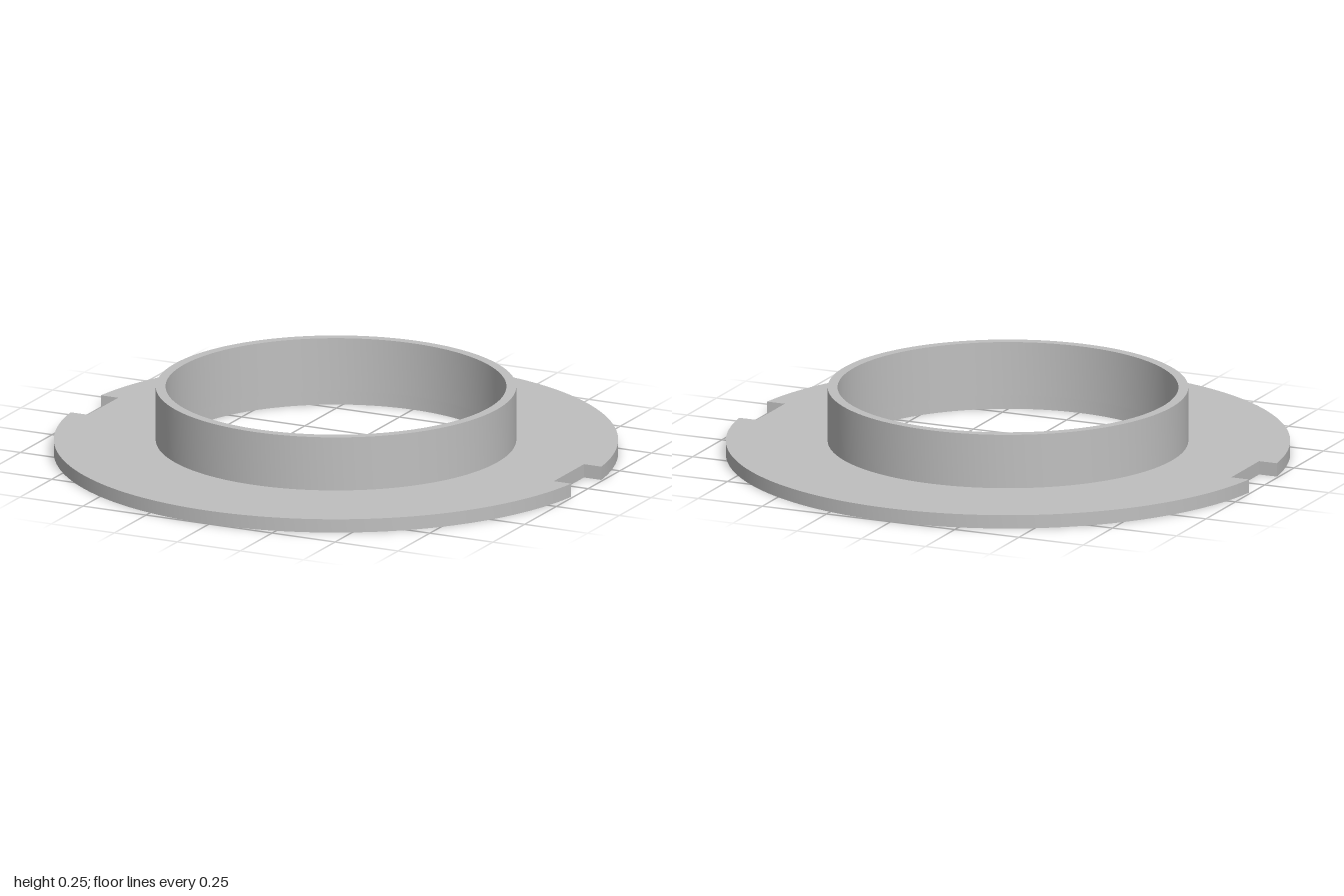
import * as THREE from 'three';
import { toCreasedNormals } from 'three/addons/utils/BufferGeometryUtils.js';

const BORE = 0.604, COLLAR = 0.639, FLANGE_TOP = 0.049, HEIGHT = 0.245;
const NOTCH_X = 0.924, NOTCH_HALF = 0.119;

export function createModel() {
  const group = new THREE.Group();
  const grey = new THREE.MeshStandardMaterial({ color: 0xbfbfbf });
  grey.name = 'grey metal';

  const add = (name, geometry) => {
    const mesh = new THREE.Mesh(toCreasedNormals(geometry, 0.5), grey);
    mesh.name = name;
    group.add(mesh);
  };

  // Flat flange: disc with a square notch on each side and a round bore
  const a = Math.asin(NOTCH_HALF);
  const outline = new THREE.Shape();
  for (const side of [1, -1]) {
    const start = side > 0 ? 0 : Math.PI;
    outline.absarc(0, 0, 1, start + a, start + Math.PI - a, false);
    outline.lineTo(-side * NOTCH_X, side * NOTCH_HALF);
    outline.lineTo(-side * NOTCH_X, -side * NOTCH_HALF);
  }
  outline.closePath();
  outline.holes.push(new THREE.Path().absarc(0, 0, BORE, 0, Math.PI * 2, true));
  const flange = new THREE.ExtrudeGeometry(outline, {
    depth: FLANGE_TOP, bevelEnabled: false, curveSegments: 64,
  });
  add('flange', flange.rotateX(-Math.PI / 2));

  // Thin upright collar around the bore: outer wall, rim, inner wall
  const profile = [
    [COLLAR, FLANGE_TOP], [COLLAR, HEIGHT], [BORE, HEIGHT], [BORE, FLANGE_TOP],
  ].map(([r, y]) => new THREE.Vector2(r, y));
  add('collar', new THREE.LatheGeometry(profile, 128));

  return group;
}
